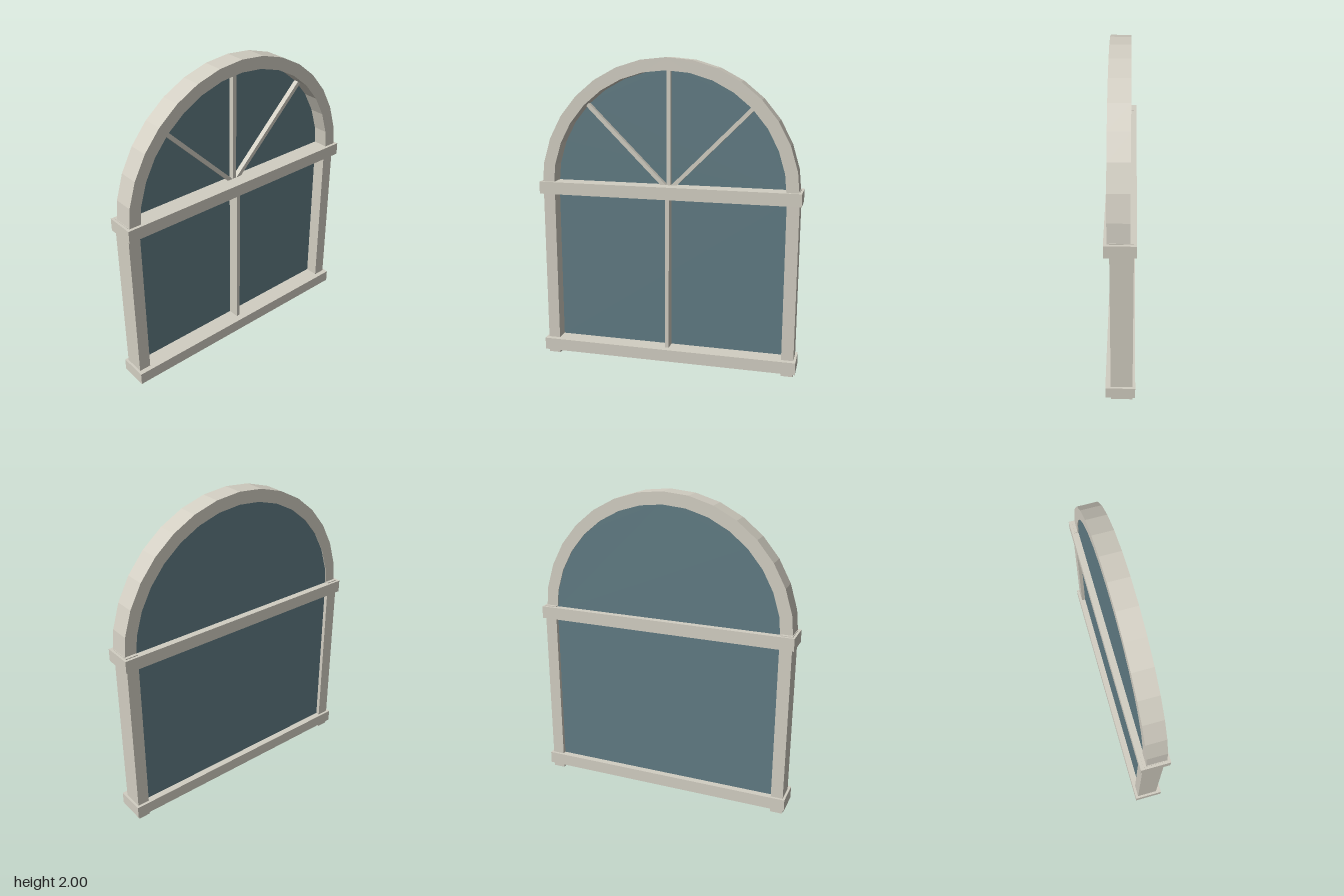
import * as THREE from 'three';

const ARCH_Y = 1.165;     // centre height of the arch
const OUTER = 0.835;
const INNER = 0.757;
const SEGMENTS = 16;

export function createModel() {
  const group = new THREE.Group();
  const frame = new THREE.MeshStandardMaterial({ color: 0xd2cec2 });
  frame.name = 'cream frame';
  const glass = new THREE.MeshStandardMaterial({ color: 0x607b83 });
  glass.name = 'blue grey glass';

  const add = (name, geometry, material) => {
    const mesh = new THREE.Mesh(geometry, material);
    mesh.name = name;
    group.add(mesh);
    return mesh;
  };

  // Box given by its lower and upper limits on each axis
  const block = (name, [x0, x1], [y0, y1], [z0, z1], material = frame) => {
    const mesh = add(name, new THREE.BoxGeometry(x1 - x0, y1 - y0, z1 - z0), material);
    mesh.position.set((x0 + x1) / 2, (y0 + y1) / 2, (z0 + z1) / 2);
    return mesh;
  };

  // Points along a faceted half circle, from the left end over the top
  const halfCircle = (radius) => Array.from({ length: SEGMENTS + 1 }, (_, i) => {
    const a = (Math.PI * i) / SEGMENTS;
    return new THREE.Vector2(radius * Math.cos(a), ARCH_Y + radius * Math.sin(a));
  });

  const extrude = (points, z0, z1) => {
    const geometry = new THREE.ExtrudeGeometry(new THREE.Shape(points), {
      depth: z1 - z0, bevelEnabled: false,
    });
    return geometry.translate(0, 0, z0);
  };

  // Side posts
  block('leftPost', [INNER, OUTER], [0, 1.205], [-0.077, 0.057]);
  block('rightPost', [-OUTER, -INNER], [0, 1.205], [-0.077, 0.057]);

  // Sill and middle rail
  block('sill', [-0.85, 0.85], [0.03, 0.11], [-0.094, 0.09]);
  block('middleRail', [-0.85, 0.85], [1.12, 1.2], [-0.094, 0.09]);

  // Arched head
  add('arch', extrude([...halfCircle(OUTER), ...halfCircle(INNER).reverse()], -0.057, 0.071), frame);

  // Panes
  block('lowerPane', [-0.77, 0.77], [0.1, 1.13], [-0.052, -0.028], glass);
  add('archPane', extrude(halfCircle(0.775), -0.052, -0.028), glass);

  // Lower glazing bar
  block('lowerBar', [-0.013, 0.013], [0.1, 1.13], [-0.04, 0.045]);

  // Fan of bars in the arch
  for (const [name, angle] of [['leftFanBar', -45], ['centreFanBar', 0], ['rightFanBar', 45]]) {
    const geometry = new THREE.BoxGeometry(0.026, 0.76, 0.045);
    geometry.translate(0, 0.38, -0.0175);
    const bar = add(name, geometry, frame);
    bar.position.y = ARCH_Y;
    bar.rotation.z = THREE.MathUtils.degToRad(angle);
  }

  return group;
}
